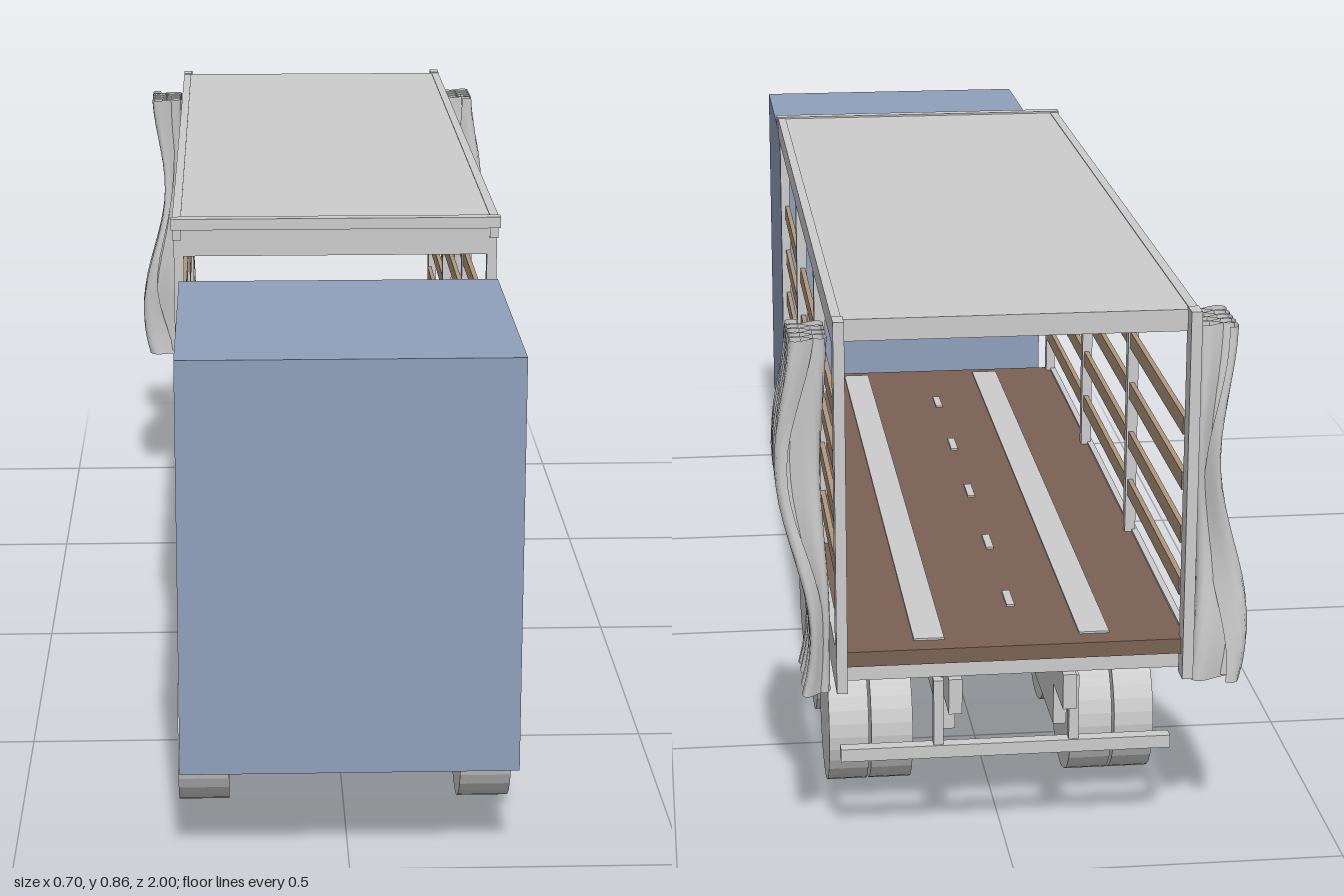
import * as THREE from 'three';

const steel = new THREE.MeshStandardMaterial({ color: 0xcccccc, flatShading: true });
steel.name = 'light grey steel';
const cloth = new THREE.MeshStandardMaterial({ color: 0xcccccc, side: THREE.DoubleSide });
cloth.name = 'light grey curtain';
const blue = new THREE.MeshStandardMaterial({ color: 0x8fa0ba });
blue.name = 'cab blue';
const tan = new THREE.MeshStandardMaterial({ color: 0xb0977b });
tan.name = 'slat wood';
const brown = new THREE.MeshStandardMaterial({ color: 0x7a6254 });
brown.name = 'floor wood';

// Box given by its limits on each axis
function box(parent, name, mat, [x0, x1], [y0, y1], [z0, z1]) {
  const m = new THREE.Mesh(new THREE.BoxGeometry(x1 - x0, y1 - y0, z1 - z0), mat);
  m.position.set((x0 + x1) / 2, (y0 + y1) / 2, (z0 + z1) / 2);
  m.name = name;
  parent.add(m);
}

// Same box on both sides of the centre line
function pair(parent, name, mat, [x0, x1], y, z) {
  box(parent, name + 'Left', mat, [x0, x1], y, z);
  box(parent, name + 'Right', mat, [-x1, -x0], y, z);
}

function wheel(parent, name, x0, x1, z) {
  for (const s of [1, -1]) {
    const m = new THREE.Mesh(new THREE.CylinderGeometry(0.109, 0.109, x1 - x0, 32), steel);
    m.rotation.z = Math.PI / 2;
    m.position.set(s * (x0 + x1) / 2, 0.109, z);
    m.name = name;
    parent.add(m);
  }
}

// Gathered cloth: a serpentine sheet whose folds drift with height
function curtain(side) {
  const nu = 80, nv = 20;
  const g = new THREE.PlaneGeometry(1, 1, nu, nv);
  const p = g.attributes.position;
  for (let i = 0; i < p.count; i++) {
    const u = p.getX(i) + 0.5, v = p.getY(i) + 0.5;
    const bulge = Math.sin((v - 0.43) * Math.PI * 1.9) * side;
    const outer = 0.324 + 0.027 * bulge * (1 - 0.75 * v * v * v);
    const inner = 0.267 + 0.006 * (1 + bulge) * Math.sin(v * Math.PI);
    const a = u * Math.PI * 9 + 0.5 * Math.sin(v * 6 + side);
    const x = inner + (outer - inner) * (0.5 + 0.5 * Math.sin(a));
    const z = -0.855 - 0.1 * u + 0.012 * Math.sin(2 * a) + 0.006 * Math.sin(v * 9 + side * 2);
    p.setXYZ(i, side * x, 0.29 + 0.535 * v + 0.012 * (1 - v) * Math.sin(u * 5), z);
  }
  g.computeVertexNormals();
  const m = new THREE.Mesh(g, cloth);
  m.name = side > 0 ? 'curtainLeft' : 'curtainRight';
  return m;
}

export function createModel() {
  const model = new THREE.Group();
  model.name = 'curtainTruck';
  const part = (name) => {
    const g = new THREE.Group();
    g.name = name;
    model.add(g);
    return g;
  };

  // Cab block
  box(model, 'cab', blue, [-0.25, 0.25], [0.155, 0.785], [0.53, 1]);

  // Single front wheels, twin rear wheels
  const wheels = part('wheels');
  wheel(wheels, 'frontWheel', 0.178, 0.256, 0.713);
  for (const z of [-0.06, -0.34, -0.62]) {
    wheel(wheels, 'rearOuterWheel', 0.194, 0.256, z);
    wheel(wheels, 'rearInnerWheel', 0.125, 0.19, z);
  }

  // Chassis rails, with a shallow tail overhang
  const chassis = part('chassis');
  pair(chassis, 'frontRail', steel, [0.075, 0.095], [0.18, 0.243], [0.405, 0.6]);
  pair(chassis, 'mainRail', steel, [0.075, 0.095], [0.18, 0.3], [-0.87, 0.405]);
  pair(chassis, 'tailRail', steel, [0.075, 0.095], [0.245, 0.3], [-0.965, -0.87]);

  // Rear underrun bar on two arms
  box(chassis, 'rearBar', steel, [-0.25, 0.25], [0.146, 0.166], [-0.9, -0.88]);
  pair(chassis, 'rearBarArm', steel, [0.095, 0.11], [0.16, 0.27], [-0.897, -0.882]);

  // Side guards between the axles
  const guards = part('sideGuards');
  pair(guards, 'lowerGuardRail', steel, [0.24, 0.252], [0.114, 0.133], [0.07, 0.577]);
  pair(guards, 'upperGuardRail', steel, [0.24, 0.252], [0.178, 0.192], [0.07, 0.577]);
  for (const z of [0.32, 0.09]) {
    pair(guards, 'guardUpright', steel, [0.23, 0.241], [0.114, 0.25], [z - 0.006, z + 0.006]);
  }

  // Load floor with inlaid strips and lashing slots
  const floor = part('floor');
  box(floor, 'floorBoards', brown, [-0.255, 0.255], [0.335, 0.358], [-0.985, 0.405]);
  pair(floor, 'floorStrip', steel, [0.1, 0.145], [0.357, 0.361], [-0.95, 0.38]);
  for (let i = 0; i < 5; i++) {
    const z = 0.2 - i * 0.25;
    box(floor, 'floorSlot', steel, [-0.02, -0.008], [0.357, 0.361], [z - 0.03, z + 0.03]);
  }
  pair(floor, 'sideSill', steel, [0.252, 0.262], [0.3, 0.362], [-0.975, 0.403]);
  for (let i = 0; i < 13; i++) {
    const z = 0.375 - i * 0.11;
    box(floor, 'crossMember', steel, [-0.252, 0.252], [0.3, 0.335], [z - 0.007, z + 0.007]);
  }

  // Posts
  const frame = part('frame');
  pair(frame, 'frontPost', steel, [0.244, 0.26], [0.358, 0.83], [0.385, 0.401]);
  for (const z of [-0.06, -0.515]) {
    pair(frame, 'middlePost', steel, [0.241, 0.258], [0.358, 0.83], [z - 0.009, z + 0.009]);
  }
  pair(frame, 'rearPost', steel, [0.246, 0.262], [0.3, 0.86], [-1, -0.968]);

  // Side slats
  const slats = part('sideSlats');
  for (const y of [0.434, 0.515, 0.597, 0.681]) {
    pair(slats, 'slat', tan, [0.244, 0.252], [y - 0.0135, y + 0.0135], [-0.968, 0.385]);
  }

  // Roof sheet, edge rails, end beams and bows
  const roof = part('roof');
  box(roof, 'roofSheet', steel, [-0.26, 0.26], [0.85, 0.857], [-0.975, 0.412]);
  pair(roof, 'roofRail', steel, [0.248, 0.262], [0.822, 0.858], [-0.975, 0.405]);
  box(roof, 'frontBeam', steel, [-0.25, 0.25], [0.795, 0.85], [0.386, 0.402]);
  box(roof, 'frontLip', steel, [-0.264, 0.264], [0.842, 0.86], [0.402, 0.422]);
  box(roof, 'rearBeam', steel, [-0.25, 0.25], [0.825, 0.851], [-0.975, -0.96]);
  for (let i = 1; i < 12; i++) {
    const z = 0.39 - i * 0.113;
    box(roof, 'roofBow', steel, [-0.25, 0.25], [0.836, 0.85], [z - 0.005, z + 0.005]);
  }
  pair(roof, 'roofStringer', steel, [0.08, 0.09], [0.838, 0.85], [-0.965, 0.39]);

  // Gathered side curtains at the rear
  model.add(curtain(1), curtain(-1));
  return model;
}
